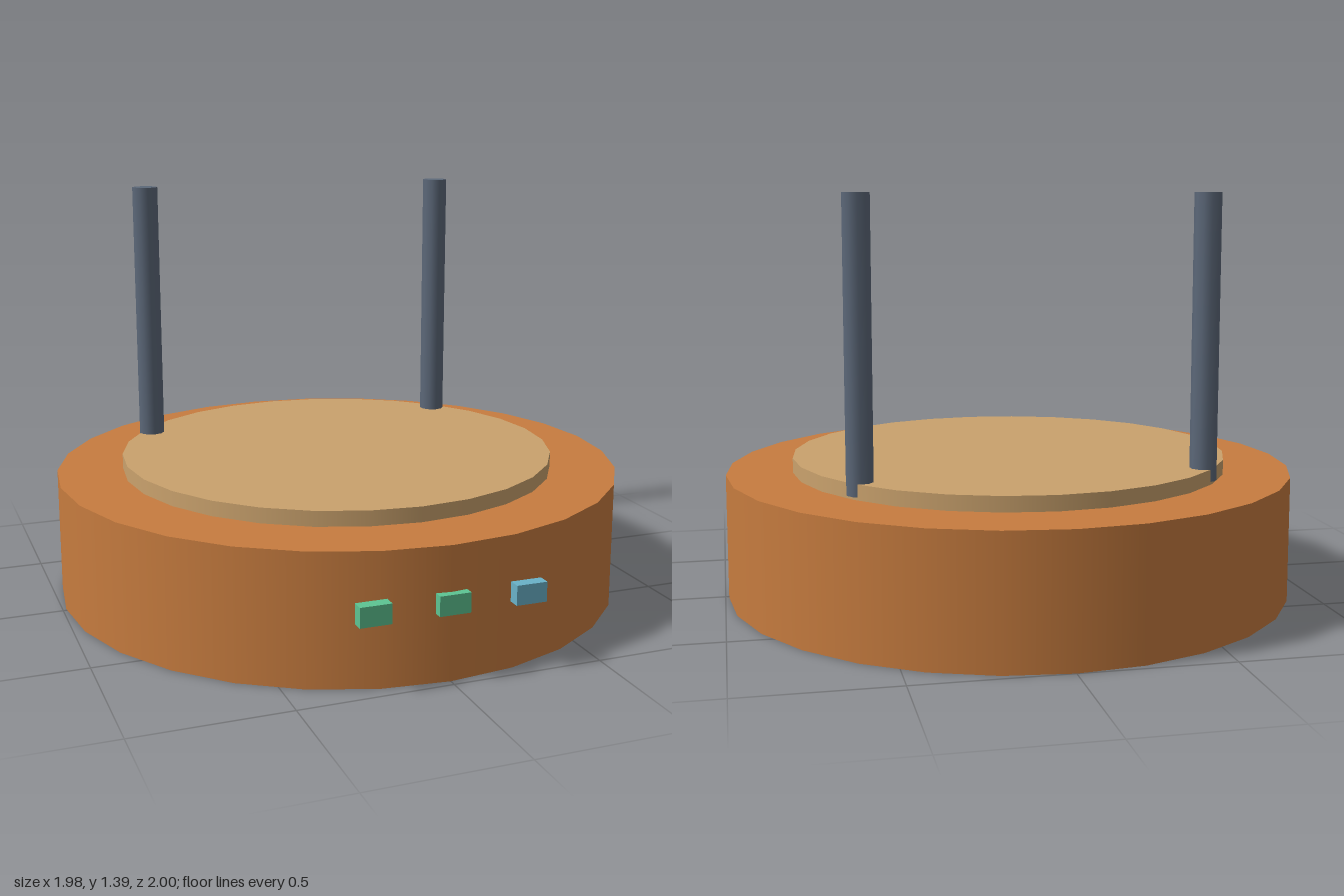
import * as THREE from 'three';

const material = (name, color) => {
  const m = new THREE.MeshStandardMaterial({ color });
  m.name = name;
  return m;
};

export function createModel() {
  const group = new THREE.Group();
  const orange = material('orange', 0xc77c3f);
  const tan = material('tan', 0xcaa26d);
  const slate = material('slate', 0x5c6879);
  const green = material('green', 0x5dc492);
  const blue = material('blue', 0x6ab2c9);

  const add = (name, geometry, mat, x, y, z) => {
    const mesh = new THREE.Mesh(geometry, mat);
    mesh.name = name;
    mesh.position.set(x, y, z);
    group.add(mesh);
  };
  // Upright cylinder between two heights
  const column = (name, radius, bottom, top, sides, mat, x, z) =>
    add(name, new THREE.CylinderGeometry(radius, radius, top - bottom, sides), mat, x, (bottom + top) / 2, z);

  // Round base and the raised disc on it
  column('base', 0.988, 0, 0.432, 28, orange, 0, -0.012);
  column('topDisc', 0.76, 0.38, 0.483, 28, tan, 0, -0.012);

  // Two rear posts
  for (const side of [-1, 1]) {
    column(side > 0 ? 'leftPost' : 'rightPost', 0.045, 0.442, 1.392, 10, slate, side * 0.572, -0.455);
  }

  // Row of small front lights
  const lightGeometry = new THREE.BoxGeometry(0.102, 0.064, 0.04);
  [['rightLight', green], ['middleLight', green], ['leftLight', blue]].forEach(([name, mat], i) =>
    add(name, lightGeometry, mat, (i - 1) * 0.254, 0.254, 0.98));

  return group;
}
